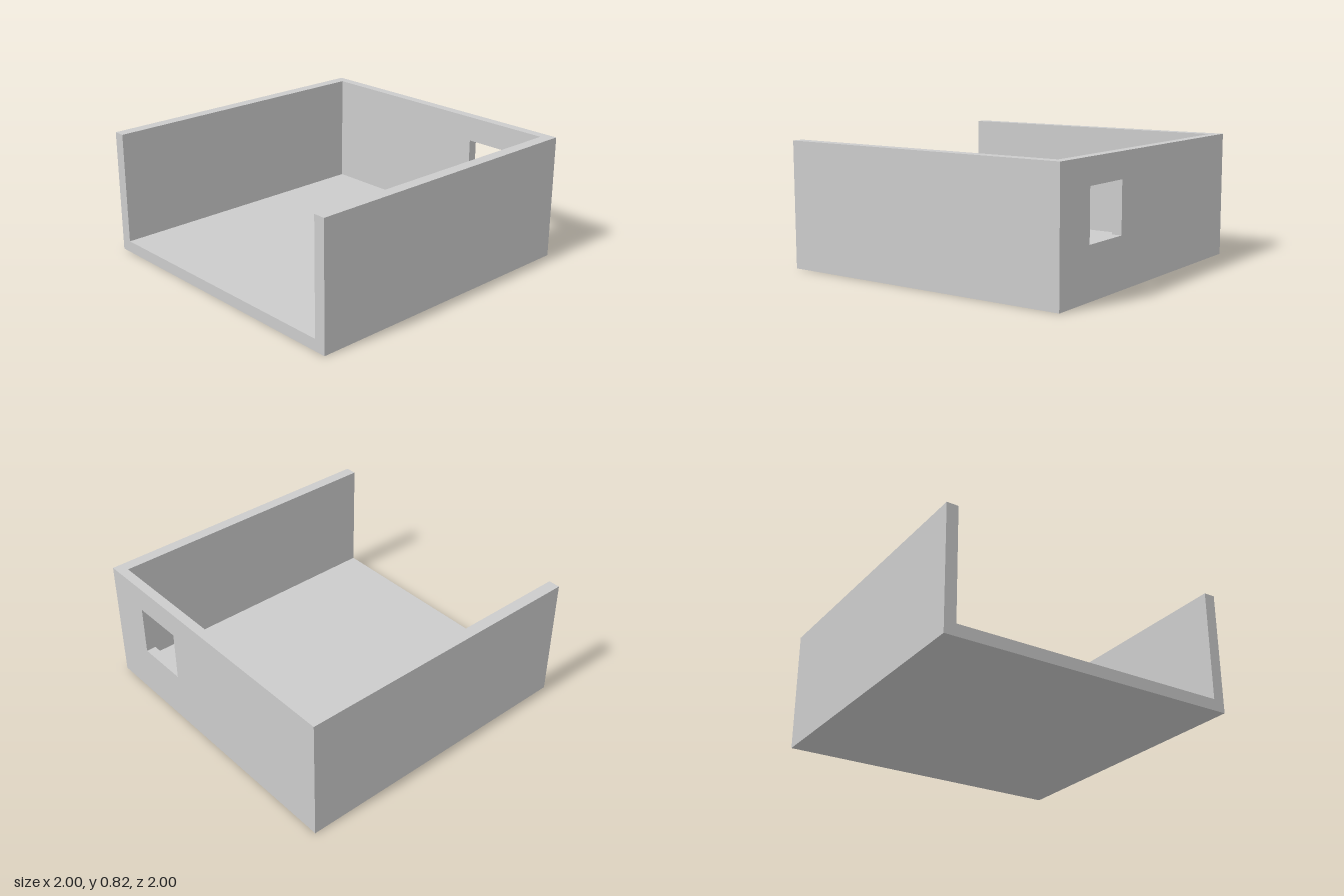
import * as THREE from 'three';

const HEIGHT = 0.82, WALL = 0.077, BACK = 0.064;
const INNER = 1 - WALL;

function polygon(points, Type = THREE.Shape) {
  return new Type(points.map(([x, y]) => new THREE.Vector2(x, y)));
}

function rectangle(x0, y0, x1, y1, Type) {
  return polygon([[x0, y0], [x1, y0], [x1, y1], [x0, y1]], Type);
}

// Extrudes a front-facing outline forward from the back plane z = -1
function extruded(name, shape, depth, material) {
  const geometry = new THREE.ExtrudeGeometry(shape, { depth, bevelEnabled: false });
  geometry.translate(0, 0, -1);
  const mesh = new THREE.Mesh(geometry, material);
  mesh.name = name;
  return mesh;
}

export function createModel() {
  const group = new THREE.Group();
  group.name = 'openRoom';
  const material = new THREE.MeshStandardMaterial({ color: 0xcccccc, flatShading: true });

  // Floor and both side walls share one U-shaped section
  const section = polygon([
    [-1, 0], [1, 0], [1, HEIGHT], [INNER, HEIGHT],
    [INNER, WALL], [-INNER, WALL], [-INNER, HEIGHT], [-1, HEIGHT],
  ]);
  group.add(extruded('floorAndSideWalls', section, 2, material));

  // Back wall fits between the side walls, with a window opening
  const wall = rectangle(-INNER, WALL, INNER, HEIGHT);
  wall.holes.push(rectangle(0.343, 0.327, 0.695, 0.656, THREE.Path));
  group.add(extruded('backWall', wall, BACK, material));

  return group;
}
